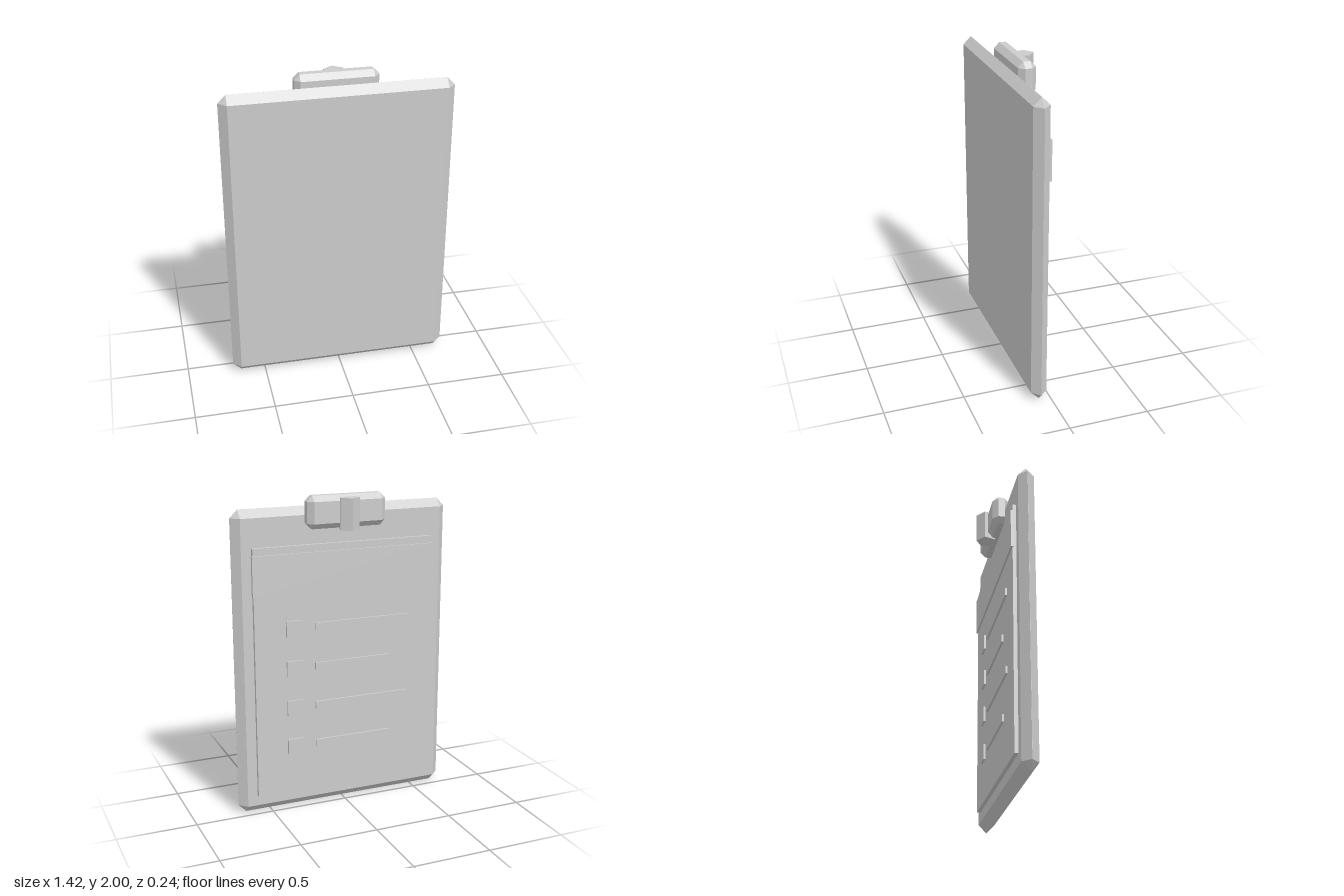
import * as THREE from 'three';
import { ConvexGeometry } from 'three/addons/geometries/ConvexGeometry.js';

// Box with every edge and corner bevelled by c.
function bevelBox(w, h, d, c) {
  const points = [];
  for (const x of [-w / 2, w / 2]) for (const y of [-h / 2, h / 2]) for (const z of [-d / 2, d / 2]) {
    const inX = x - Math.sign(x) * c, inY = y - Math.sign(y) * c, inZ = z - Math.sign(z) * c;
    points.push(new THREE.Vector3(x, inY, inZ), new THREE.Vector3(inX, y, inZ), new THREE.Vector3(inX, inY, z));
  }
  return new ConvexGeometry(points);
}

export function createModel() {
  const group = new THREE.Group();
  group.name = 'clipboard';
  const grey = new THREE.MeshStandardMaterial({ color: 0xcccccc });
  grey.name = 'light grey';

  function add(name, geometry, x, y, z) {
    const mesh = new THREE.Mesh(geometry, grey);
    mesh.name = name;
    mesh.position.set(x, y, z);
    group.add(mesh);
    return mesh;
  }

  // Box given by its limits on each axis
  function slab(name, x0, x1, y0, y1, z0, z1) {
    return add(name, new THREE.BoxGeometry(x1 - x0, y1 - y0, z1 - z0),
      (x0 + x1) / 2, (y0 + y1) / 2, (z0 + z1) / 2);
  }

  // Backing board, with side bevels meeting in a ridge
  add('board', bevelBox(1.416, 1.932, 0.1, 0.0495), 0, 0.966, 0.07);

  // Clip bar and its five-sided lever
  add('clipBar', bevelBox(0.51, 0.2, 0.11, 0.034), 0, 1.9, 0);
  const lever = new THREE.CylinderGeometry(0.066, 0.066, 0.195, 5).toNonIndexed();
  lever.computeVertexNormals();
  add('clipLever', lever, 0, 1.888, -0.056).rotation.y = Math.PI;

  // Sheet of paper with a raised header band
  slab('paper', -0.595, 0.595, 0.117, 1.705, -0.003, 0.03);
  slab('header', -0.603, 0.603, 1.408, 1.66, -0.015, 0.005);

  // Checklist rows: a tick box and a line, alternately long and short
  for (let i = 0; i < 4; i++) {
    const y = 1.195 - i * 0.256;
    slab('checkBox', 0.289, 0.393, y - 0.05, y + 0.05, -0.016, 0);
    slab('textLine', i % 2 ? -0.31 : -0.425, 0.205, y - 0.023, y + 0.023, -0.016, 0);
  }
  return group;
}
